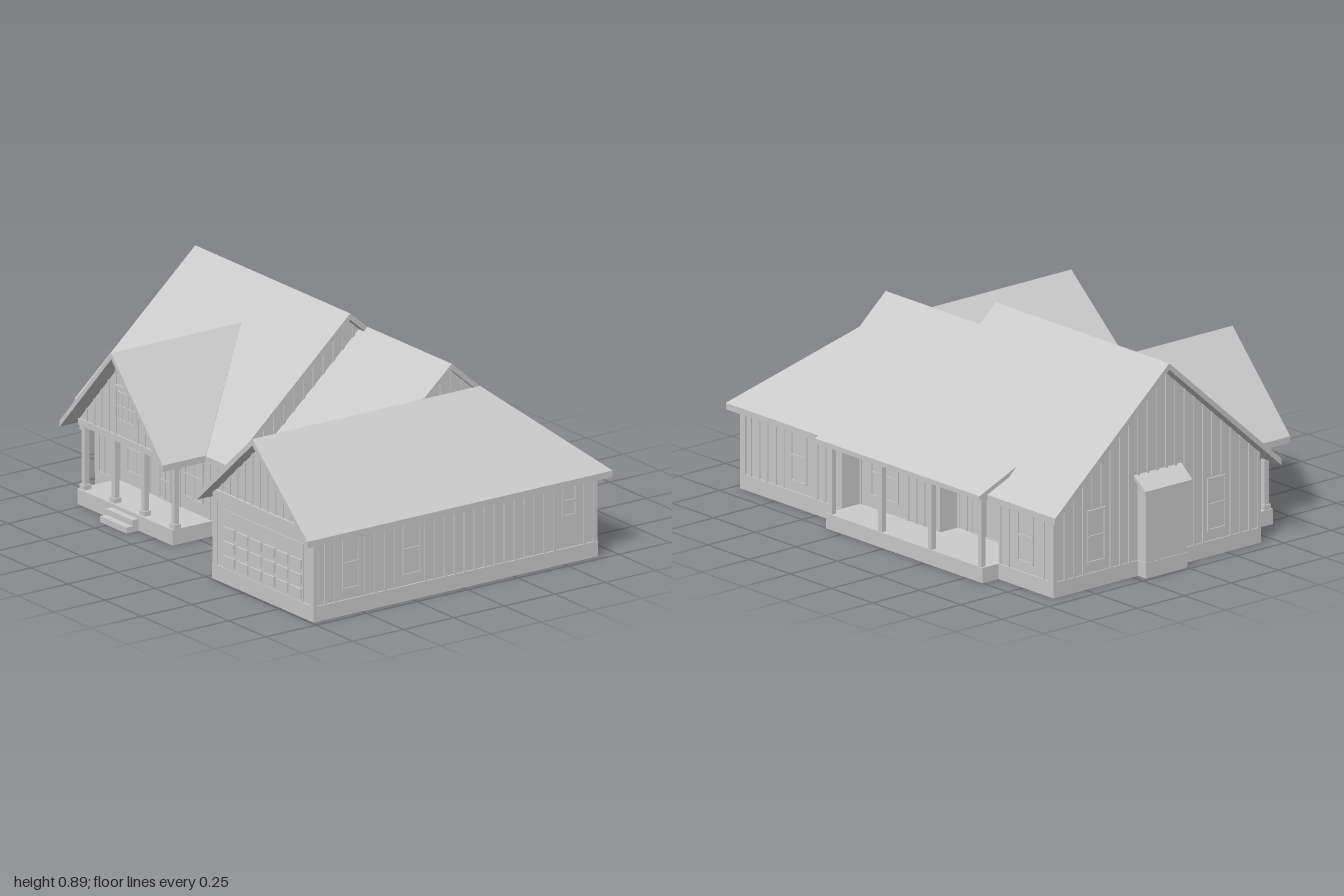
import * as THREE from 'three';

export function createModel() {
  const house = new THREE.Group();
  house.name = 'house';
  const mat = new THREE.MeshStandardMaterial({ color: 0xcccccc, flatShading: true });

  const add = (name, geo, parent = house) => {
    const m = new THREE.Mesh(geo, mat);
    m.name = name;
    parent.add(m);
    return m;
  };
  // box given by its limits on each axis
  const box = (name, x0, x1, y0, y1, z0, z1, parent = house) => {
    const m = add(name, new THREE.BoxGeometry(x1 - x0, y1 - y0, z1 - z0), parent);
    m.position.set((x0 + x1) / 2, (y0 + y1) / 2, (z0 + z1) / 2);
    return m;
  };
  // plan outline [x, z] raised from y0 to y1 (each a number or a function of x, z)
  const raise = (name, plan, y0, y1) => {
    const shape = new THREE.Shape(plan.map(([x, z]) => new THREE.Vector2(x, -z)));
    const g = new THREE.ExtrudeGeometry(shape, { depth: 1, bevelEnabled: false }).rotateX(-Math.PI / 2);
    const p = g.attributes.position;
    const at = (f, i) => (typeof f === 'function' ? f(p.getX(i), p.getZ(i)) : f);
    for (let i = 0; i < p.count; i++) p.setY(i, at(p.getY(i) > 0.5 ? y1 : y0, i));
    g.computeVertexNormals();
    return add(name, g);
  };

  // roof planes
  const backY = (x, z) => 0.886 + (z + 0.11) * 0.863;
  const mainY = (x, z) => 0.886 - (z + 0.11) * 0.885;
  const linkY = (x, z) => 0.813 - (z + 0.195) * 0.875;
  const wingY = (x) => 0.692 - Math.abs(x - 0.625) * 0.885;
  const entryY = (x) => 0.74 - Math.abs(x + 0.46) * 1.085;
  const rearPorchY = (x, z) => 0.465 + (z + 0.6) * 0.42;
  const roof = (name, plan, f, t = 0.027) => raise(name, plan, (x, z) => f(x, z) - t, f);

  roof('backRoof', [[-1, -0.717], [1, -0.717], [0.625, -0.335], [0.625, -0.195], [0.053, -0.195], [0.053, -0.11], [-1, -0.11]], backY);
  roof('mainFrontRoof', [[-1, -0.11], [0.053, -0.11], [0.053, 0.487], [-0.11, 0.487], [-0.46, 0.055], [-0.81, 0.487], [-1, 0.487]], mainY);
  roof('linkRoof', [[0.053, -0.195], [0.625, -0.195], [0.625, -0.065], [0.25, 0.32], [0.053, 0.32]], linkY);
  roof('garageRoofInner', [[0.25, 0.793], [0.625, 0.793], [0.625, -0.065], [0.25, 0.32]], wingY);
  roof('garageRoofOuter', [[0.625, 0.793], [1, 0.793], [1, -0.717], [0.625, -0.335]], wingY);
  roof('entryRoofRight', [[-0.81, 0.487], [-0.46, 0.055], [-0.46, 0.7], [-0.81, 0.7]], entryY);
  roof('entryRoofLeft', [[-0.11, 0.487], [-0.46, 0.055], [-0.46, 0.7], [-0.11, 0.7]], entryY);
  roof('rearPorchRoof', [[-0.63, -0.795], [0.37, -0.795], [0.37, -0.6], [-0.63, -0.6]], rearPorchY, 0.02);

  // floor plate on a hollow foundation skirt, including both porches and the bump-out
  const plan = [[-0.935, -0.668], [-0.6, -0.668], [-0.6, -0.753], [0.35, -0.753], [0.35, -0.668], [0.97, -0.668],
    [0.97, 0.74], [0.28, 0.74], [0.28, 0.275], [0.005, 0.275], [0.005, 0.435], [-0.14, 0.435], [-0.14, 0.63],
    [-0.785, 0.63], [-0.785, 0.435], [-0.935, 0.435], [-0.935, 0], [-0.985, 0], [-0.985, -0.22], [-0.935, -0.22]];
  raise('floor', plan, 0.055, 0.065);
  plan.forEach(([ax, az], i) => {
    const [bx, bz] = plan[(i + 1) % plan.length];
    const nx = -Math.sign(bz - az) * 0.012, nz = Math.sign(bx - ax) * 0.012;
    box('foundation', Math.min(ax, bx, ax + nx), Math.max(ax, bx, ax + nx), 0, 0.064,
      Math.min(az, bz, az + nz), Math.max(az, bz, az + nz));
  });
  // walls, recessed behind the rear porch
  raise('walls', [[-0.93, -0.662], [-0.6, -0.662], [-0.6, -0.48], [-0.14, -0.48], [-0.14, -0.57], [0.35, -0.57],
    [0.35, -0.662], [0.963, -0.662], [0.963, 0.733], [0.286, 0.733], [0.286, 0.27], [0, 0.27], [0, 0.43], [-0.93, 0.43]], 0.06, 0.34);

  // attic volumes that close the gables: each half runs from the ridge to a wall
  const under = (f) => (x, z) => f(x, z) - 0.02;
  const attic = (name, x0, x1, z0, z1, f) => raise(name, [[x0, z0], [x1, z0], [x1, z1], [x0, z1]], 0.335, under(f));
  attic('mainGableBack', -0.93, 0, -0.662, -0.11, backY);
  attic('mainGableFront', -0.93, 0, -0.11, 0.43, mainY);
  attic('linkGableBack', 0, 0.6, -0.662, -0.195, backY);
  attic('linkGableFront', 0, 0.6, -0.195, 0.27, linkY);
  attic('garageGableInner', 0.286, 0.625, 0.2, 0.733, wingY);
  attic('garageGableOuter', 0.625, 0.963, -0.33, 0.733, wingY);
  attic('entryGableRight', -0.785, -0.46, 0.4, 0.62, entryY);
  attic('entryGableLeft', -0.46, -0.135, 0.4, 0.62, entryY);
  raise('rearCorner', [[0.6, -0.33], [0.625, -0.33], [0.963, -0.662], [0.6, -0.662]], 0.335, under(backY));
  raise('rearCornerSide', [[0.625, -0.33], [0.963, -0.33], [0.963, -0.662]], 0.335, under(wingY));

  // board-and-batten strips; openings are [from, to, bottom of strip above]
  const flat = () => 0.345;
  const battens = (axis, fixed, from, to, top, openings = [], y0 = 0.06) => {
    const group = new THREE.Group();
    group.name = 'battens';
    house.add(group);
    const n = Math.max(1, Math.round((to - from) / 0.05)), r = 0.005;
    for (let i = 0; i <= n; i++) {
      const s = from + ((to - from) * i) / n;
      const o = openings.find(([a, b]) => s > a && s < b);
      const lo = o ? o[2] : y0;
      const hi = axis === 'x' ? top(s, fixed) : top(fixed, s);
      if (hi - lo < 0.015) continue;
      if (axis === 'x') box('batten', s - r, s + r, lo, hi, fixed - r, fixed + r, group);
      else box('batten', fixed - r, fixed + r, lo, hi, s - r, s + r, group);
    }
  };
  const mainGable = (x, z) => Math.min(backY(x, z), mainY(x, z)) - 0.025;
  const linkGable = (x, z) => Math.min(backY(x, z), linkY(x, z)) - 0.025;
  battens('z', -0.93, -0.655, 0.425, mainGable, [[-0.22, 0, 0.42], [-0.5, -0.38, 0.335], [0.14, 0.26, 0.335]]);
  battens('z', 0, -0.36, 0.425, mainGable);
  battens('z', 0.6, -0.32, -0.05, linkGable, [], 0.6);
  battens('z', 0.963, -0.655, 0.728, flat, [[0.5, 0.6, 0.34], [0.2, 0.295, 0.34], [-0.57, -0.49, 0.34]]);
  battens('z', 0.286, 0.275, 0.728, flat);
  battens('x', 0.733, 0.291, 0.958, (x) => wingY(x) - 0.025, [[0.33, 0.92, 0.38]]);
  battens('x', 0.27, 0.005, 0.28, flat, [[0.08, 0.2, 0.33]]);
  battens('x', 0.43, -0.925, -0.005, flat, [[-0.73, -0.58, 0.33], [-0.52, -0.4, 0.33], [-0.34, -0.19, 0.33]]);
  battens('x', 0.62, -0.78, -0.14, (x) => entryY(x) - 0.025, [[-0.53, -0.39, 0.575]], 0.36);
  battens('x', -0.662, 0.355, 0.958, flat, [[0.55, 0.68, 0.335]]);
  battens('x', -0.662, -0.925, -0.605, flat, [[-0.82, -0.7, 0.335]]);
  battens('x', -0.57, -0.135, 0.345, flat, [[0.1, 0.3, 0.335]]);
  battens('x', -0.48, -0.595, -0.145, flat, [[-0.49, -0.21, 0.33]]);

  // framed panel facing +z, turned to its wall; split into cols by rows
  const windowUnit = (name, x, y0, y1, z, turn, w, cols = 1, rows = 2) => {
    const g = new THREE.Group(), h = y1 - y0, f = 0.008;
    g.name = name;
    g.position.set(x, y0, z);
    g.rotation.y = turn;
    house.add(g);
    box('pane', -w / 2, w / 2, 0, h, -0.004, 0.002, g);
    for (let i = 0; i <= cols; i++) {
      const s = -w / 2 + (w * i) / cols;
      box('stile', s - f / 2, s + f / 2, -f / 2, h + f / 2, 0, 0.006, g);
    }
    for (let j = 0; j <= rows; j++) box('rail', -w / 2, w / 2, (h * j) / rows - f / 2, (h * j) / rows + f / 2, 0, 0.007, g);
  };
  const Q = Math.PI / 2;
  windowUnit('sideWindow', 0.963, 0.11, 0.325, 0.55, Q, 0.08);
  windowUnit('sideWindow', 0.963, 0.11, 0.325, 0.25, Q, 0.08);
  windowUnit('sideWindow', 0.963, 0.2, 0.325, -0.53, Q, 0.06);
  for (const z of [-0.44, 0.2]) windowUnit('sideWindow', -0.93, 0.11, 0.325, z, -Q, 0.09);
  for (const x of [-0.655, -0.265]) windowUnit('porchWindow', x, 0.12, 0.315, 0.43, 0, 0.12, 2);
  windowUnit('frontDoor', -0.46, 0.065, 0.31, 0.43, 0, 0.075, 2, 3);
  windowUnit('gableWindow', -0.49, 0.43, 0.545, 0.62, 0, 0.054, 2);
  windowUnit('gableWindow', -0.425, 0.43, 0.545, 0.62, 0, 0.054, 2);
  box('gableWindowHead', -0.53, -0.385, 0.562, 0.575, 0.615, 0.628);
  windowUnit('linkWindow', 0.14, 0.12, 0.315, 0.27, 0, 0.1);
  for (const x of [0.615, -0.76]) windowUnit('backWindow', x, 0.11, 0.325, -0.662, Math.PI, 0.09);
  windowUnit('patioDoor', -0.35, 0.065, 0.31, -0.48, Math.PI, 0.24, 3, 1);
  windowUnit('rearPorchWindow', 0.2, 0.12, 0.315, -0.57, Math.PI, 0.16, 2);

  // garage door with raised panels, and the band above it
  box('garageDoor', 0.35, 0.895, 0.06, 0.31, 0.728, 0.737);
  for (let c = 0; c < 6; c++) {
    for (let r = 0; r < 3; r++) {
      const x = 0.36 + c * 0.0905, y = 0.078 + r * 0.061;
      box('garagePanel', x, x + 0.074, y, y + 0.042, 0.732, 0.745);
    }
  }
  box('garageBand', 0.286, 0.963, 0.345, 0.382, 0.728, 0.743);

  // corner boards
  for (const [x, z] of [[0.296, 0.733], [0.953, 0.733], [0.953, -0.662], [-0.92, -0.662], [-0.92, 0.43], [-0.01, 0.43]])
    box('cornerBoard', x - 0.015, x + 0.015, 0.06, 0.345, z - 0.006, z + 0.006);

  // front porch posts, beam and steps
  for (const x of [-0.765, -0.561, -0.359, -0.155]) {
    box('porchPost', x - 0.011, x + 0.011, 0.06, 0.34, 0.594, 0.616);
    box('postBase', x - 0.017, x + 0.017, 0.06, 0.085, 0.588, 0.622);
    box('postCap', x - 0.017, x + 0.017, 0.315, 0.34, 0.588, 0.622);
  }
  box('porchBeam', -0.785, -0.135, 0.335, 0.362, 0.585, 0.628);
  box('lowerStep', -0.55, -0.37, 0, 0.025, 0.62, 0.69);
  box('upperStep', -0.55, -0.37, 0, 0.05, 0.62, 0.66);

  // rear porch posts and beam
  for (let i = 0; i < 4; i++) {
    const x = -0.58 + i * 0.303;
    box('rearPost', x - 0.011, x + 0.011, 0.06, 0.36, -0.75, -0.728);
  }
  box('rearBeam', -0.6, 0.35, 0.345, 0.385, -0.752, -0.726);

  // side bump-out with a shed roof
  const shedY = (x) => 0.425 + (x + 0.93) * 0.8;
  raise('bumpOut', [[-0.982, -0.217], [-0.93, -0.217], [-0.93, -0.003], [-0.982, -0.003]], 0.06, (x) => shedY(x) - 0.01);
  roof('bumpOutRoof', [[-0.998, -0.235], [-0.93, -0.235], [-0.93, 0.015], [-0.998, 0.015]], shedY, 0.018);

  return house;
}
